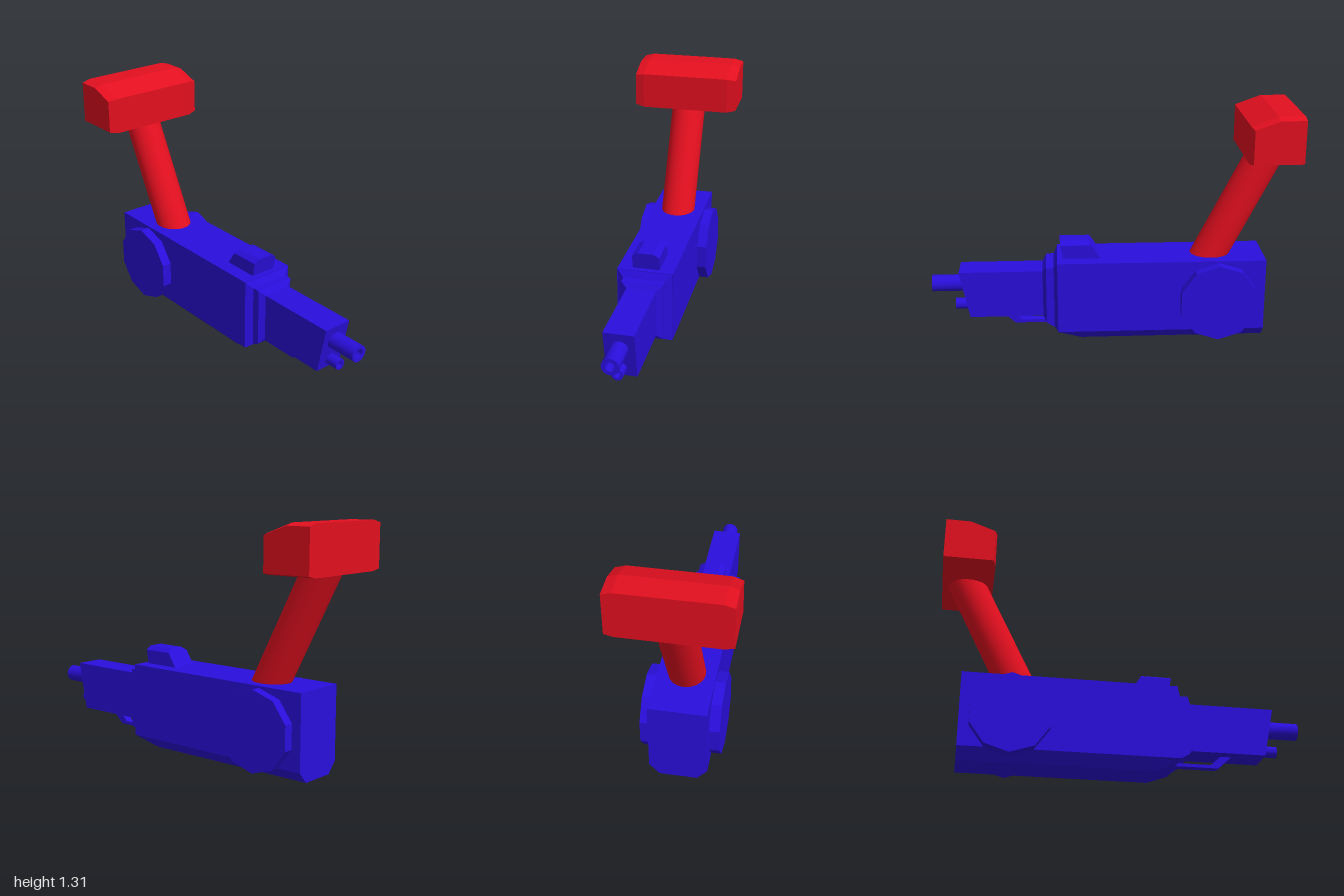
import * as THREE from 'three';
import { toCreasedNormals } from 'three/addons/utils/BufferGeometryUtils.js';

const blue = new THREE.MeshStandardMaterial({ color: 0x2a0edc });
const red = new THREE.MeshStandardMaterial({ color: 0xe30f1f });

// Closed flat-shaded solid through convex rings of 3D points.
function loft(rings) {
  const pos = [];
  const tri = (a, b, c) => pos.push(...a, ...b, ...c);
  const n = rings[0].length;
  for (let k = 0; k + 1 < rings.length; k++) {
    const a = rings[k], b = rings[k + 1];
    for (let i = 0; i < n; i++) {
      const j = (i + 1) % n;
      tri(a[i], a[j], b[j]);
      tri(a[i], b[j], b[i]);
    }
  }
  const first = rings[0], last = rings[rings.length - 1];
  for (let i = 1; i + 1 < n; i++) {
    tri(first[0], first[i + 1], first[i]);
    tri(last[0], last[i], last[i + 1]);
  }
  const g = new THREE.BufferGeometry();
  g.setAttribute('position', new THREE.Float32BufferAttribute(pos, 3));
  g.computeVertexNormals();
  return g;
}

// Rectangular ring across x, with separate x for bottom and top edges.
const rect = (xBottom, y0, y1, w, xTop = xBottom) =>
  [[xBottom, y0, -w], [xTop, y1, -w], [xTop, y1, w], [xBottom, y0, w]];

// Profile [x, y] placed at depth z.
const atZ = (profile, z) => profile.map(([x, y]) => [x, y, z]);

// Hollow tube along x with a blind bore.
function barrel(r, bore, x0, x1, y) {
  const pts = [[0, x0], [r, x0], [r, x1], [bore, x1], [bore, x1 - 0.1], [0, x1 - 0.1]]
    .map(([a, b]) => new THREE.Vector2(a, b));
  const g = toCreasedNormals(new THREE.LatheGeometry(pts, 20), 0.6);
  return g.rotateZ(-Math.PI / 2).translate(0, y, 0);
}

export function createModel() {
  const model = new THREE.Group();
  const add = (name, geometry, material = blue) => {
    const mesh = new THREE.Mesh(geometry, material);
    mesh.name = name;
    model.add(mesh);
  };

  // Main body with bevelled underside and sloping front of the keel
  const bodyRing = (x, bottom) => [
    [x, bottom, -0.1], [x, 0.06, -0.155], [x, 0.47, -0.155],
    [x, 0.47, 0.155], [x, 0.06, 0.155], [x, bottom, 0.1],
  ];
  add('body', loft([bodyRing(-0.86, 0), bodyRing(0.17, 0), bodyRing(0.297, 0.06)]));

  // Stepped collar and slant-ended barrel housing
  add('collar', loft([
    rect(0.295, 0.06, 0.47, 0.155), rect(0.317, 0.075, 0.43, 0.115),
    rect(0.36, 0.1, 0.43, 0.115), rect(0.38, 0.13, 0.4, 0.082),
  ]));
  add('barrelHousing', loft([
    rect(0.37, 0.13, 0.4, 0.082), rect(0.79, 0.13, 0.4, 0.082, 0.845),
  ]));

  // Twin barrels
  add('upperBarrel', barrel(0.047, 0.026, 0.78, 1, 0.308));
  add('lowerBarrel', barrel(0.031, 0.018, 0.75, 0.875, 0.181));

  // Thin guard below the housing
  const guard = new THREE.Shape([
    [0.28, 0.062], [0.54, 0.062], [0.62, 0.135], [0.56, 0.135], [0.5, 0.08], [0.28, 0.08],
  ].map(([x, y]) => new THREE.Vector2(x, y)));
  add('guard', new THREE.ExtrudeGeometry(guard, { depth: 0.044, bevelEnabled: false })
    .translate(0, 0, -0.022));

  // Bevelled sight on top
  const sightFull = [[0.055, 0.465], [0.264, 0.465], [0.281, 0.567], [0.12, 0.567]];
  const sightEnd = [[0.055, 0.465], [0.264, 0.465], [0.278, 0.547], [0.108, 0.547]];
  add('sight', loft([
    atZ(sightEnd, -0.075), atZ(sightFull, -0.042), atZ(sightFull, 0.042), atZ(sightEnd, 0.075),
  ]));

  // Ten-sided discs on both flanks
  for (const side of [-1, 1]) {
    const disc = toCreasedNormals(new THREE.CylinderGeometry(0.22, 0.22, 0.07, 10), 0.3);
    disc.rotateX(Math.PI / 2).translate(-0.597, 0.24, side * 0.175);
    add(side > 0 ? 'frontDisc' : 'backDisc', disc);
  }

  // Leaning round post
  const base = new THREE.Vector3(-0.527, 0.4, 0), top = new THREE.Vector3(-0.886, 1.11, 0);
  const axis = top.clone().sub(base);
  const post = new THREE.CylinderGeometry(0.099, 0.099, axis.length(), 32);
  post.applyQuaternion(new THREE.Quaternion().setFromUnitVectors(
    new THREE.Vector3(0, 1, 0), axis.normalize()));
  post.translate(...base.add(top).multiplyScalar(0.5).toArray());
  add('post', post, red);

  // Crosswise head block with bevelled ends
  const headFull = [[-1, 1.053], [-0.72, 1.053], [-0.72, 1.257], [-0.862, 1.31], [-1, 1.31]];
  const headEnd = [[-1, 1.064], [-0.732, 1.064], [-0.732, 1.248], [-0.866, 1.296], [-1, 1.296]];
  add('head', loft([
    atZ(headEnd, -0.306), atZ(headFull, -0.255), atZ(headFull, 0.255), atZ(headEnd, 0.306),
  ]), red);

  return model;
}
